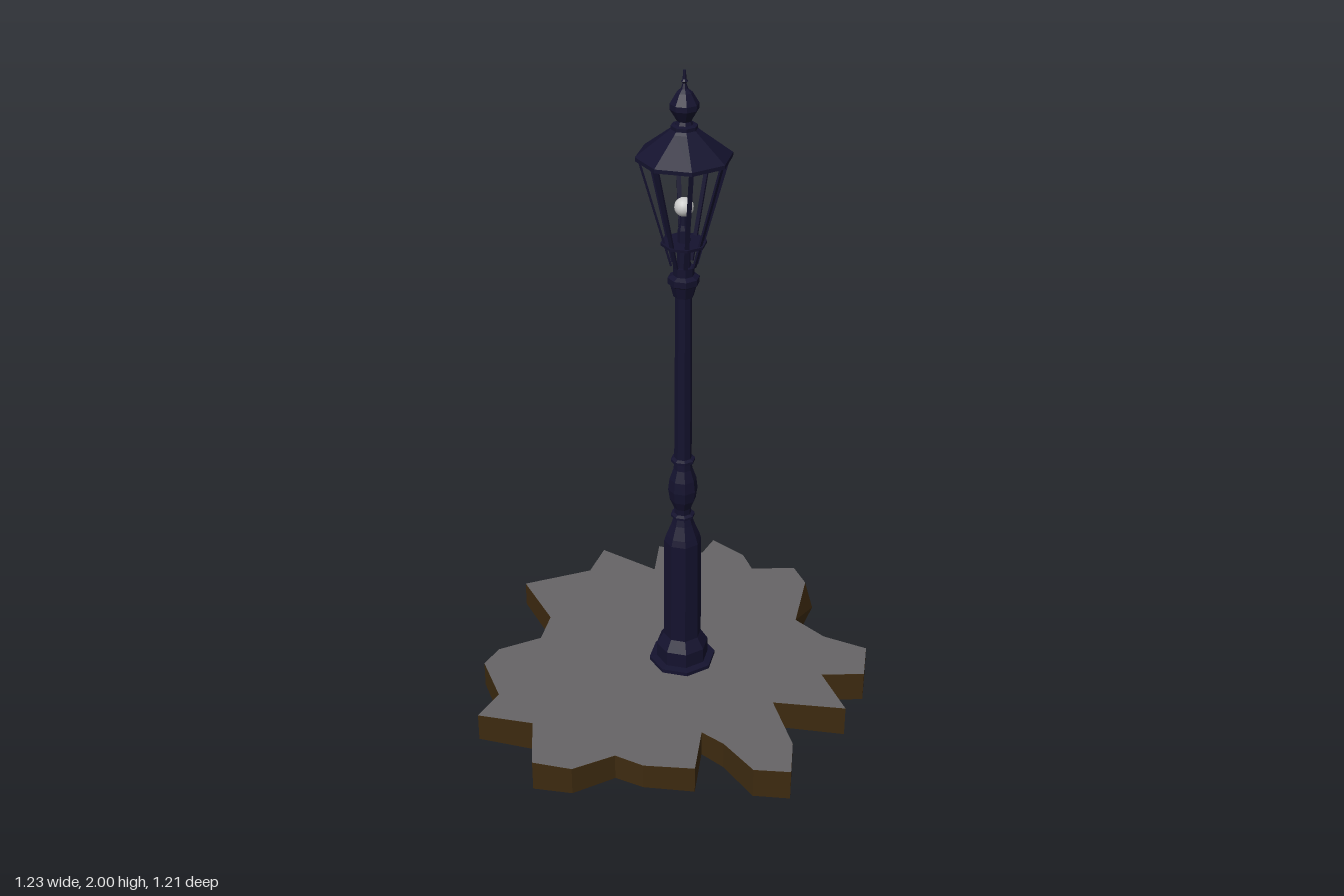
import * as THREE from 'three';

const IRON = new THREE.MeshStandardMaterial({ color: 0x14122e, flatShading: true, side: THREE.DoubleSide });
const EARTH = new THREE.MeshStandardMaterial({ color: 0x3d2a10, flatShading: true });
const PAVING = new THREE.MeshStandardMaterial({ color: 0x666466, flatShading: true });
const GLASS = new THREE.MeshStandardMaterial({ color: 0xcccccc });

// Ragged ground outline as [x, z], seen from above
const OUTLINE = [
  [-0.42, -0.44], [-0.2, -0.485], [-0.14, -0.6], [0.015, -0.46], [0.05, -0.595], [0.19, -0.535],
  [0.24, -0.605], [0.325, -0.5], [0.34, -0.415], [0.48, -0.4], [0.5, -0.31], [0.425, -0.11],
  [0.495, -0.01], [0.613, 0.07], [0.575, 0.195], [0.445, 0.18], [0.48, 0.35], [0.27, 0.29],
  [0.29, 0.485], [0.26, 0.605], [0.155, 0.58], [0.09, 0.455], [0.035, 0.395], [-0.01, 0.55],
  [-0.155, 0.515], [-0.23, 0.46], [-0.36, 0.5], [-0.47, 0.455], [-0.455, 0.28], [-0.613, 0.22],
  [-0.545, 0.13], [-0.58, -0.03], [-0.53, -0.095], [-0.395, -0.135], [-0.355, -0.24],
];

function mesh(name, geometry, material) {
  const m = new THREE.Mesh(geometry, material);
  m.name = name;
  return m;
}

// Eight-sided turned part from [radius, height] pairs, bottom to top
function turned(name, profile, material = IRON) {
  return mesh(name, new THREE.LatheGeometry(profile.map(([r, y]) => new THREE.Vector2(r, y)), 8), material);
}

function createGround() {
  const ground = new THREE.Group();
  ground.name = 'ground';
  const shape = new THREE.Shape(OUTLINE.map(([x, z]) => new THREE.Vector2(x, -z)));

  // Earth slab with a slightly uneven underside
  const slab = new THREE.ExtrudeGeometry(shape, { depth: 0.089, bevelEnabled: false });
  slab.rotateX(-Math.PI / 2).translate(0, 0.01, 0);
  const p = slab.attributes.position;
  for (let i = 0; i < p.count; i++) {
    if (p.getY(i) > 0.05) continue;
    const x = p.getX(i), z = p.getZ(i);
    p.setY(i, 0.01 + 0.009 * Math.sin(7 * x + 5 * z));
    if (x > 0.47 && z < -0.3) p.setXYZ(i, x + 0.02, p.getY(i), z + 0.03);
  }
  slab.computeVertexNormals();

  const top = new THREE.ShapeGeometry(shape).rotateX(-Math.PI / 2).translate(0, 0.1, 0);
  ground.add(mesh('earthSlab', slab, EARTH), mesh('pavement', top, PAVING));
  return ground;
}

function createPost() {
  const post = new THREE.Group();
  post.name = 'post';
  post.add(
    turned('pedestal', [
      [0, 0.095], [0.102, 0.095], [0.102, 0.112], [0.08, 0.115], [0.08, 0.163], [0.058, 0.198],
      [0.056, 0.54], [0.05, 0.56], [0.034, 0.6], [0.027, 0.625],
    ]),
    turned('lowerCollar', [[0.027, 0.622], [0.036, 0.625], [0.036, 0.632], [0.026, 0.637]]),
    turned('baluster', [
      [0.024, 0.63], [0.026, 0.655], [0.039, 0.685], [0.044, 0.72], [0.04, 0.755], [0.028, 0.79], [0.026, 0.812],
    ]),
    turned('upperCollar', [[0.026, 0.81], [0.036, 0.815], [0.036, 0.823], [0.026, 0.828]]),
    turned('shaft', [[0.026, 0.81], [0.024, 1.36]]),
    turned('capital', [
      [0.022, 1.35], [0.029, 1.35], [0.038, 1.385], [0.045, 1.39], [0.045, 1.408], [0.03, 1.415], [0.03, 1.44], [0, 1.44],
    ]),
  );
  return post;
}

function createLantern() {
  const lantern = new THREE.Group();
  lantern.name = 'lantern';
  lantern.add(
    turned('lampHolder', [[0.02, 1.43], [0.017, 1.55], [0.013, 1.565], [0.011, 1.595]]),
    turned('lanternFloor', [[0, 1.506], [0.064, 1.506], [0.065, 1.514], [0, 1.514]]),
    // Hollow hood: inner face, eave, then outer slope
    turned('roof', [
      [0, 1.815], [0.04, 1.81], [0.125, 1.755], [0.133, 1.755], [0.133, 1.766], [0.045, 1.833], [0.037, 1.84],
      [0.037, 1.85], [0.025, 1.853],
    ]),
    turned('finial', [
      [0.025, 1.85], [0.02, 1.862], [0.04, 1.895], [0.04, 1.91], [0.022, 1.94], [0.01, 1.95],
      [0.005, 1.965], [0.01, 1.97], [0.005, 1.976], [0.004, 2], [0, 2],
    ]),
  );

  const bulb = mesh('bulb', new THREE.SphereGeometry(0.027, 16, 12), GLASS);
  bulb.position.y = 1.616;
  lantern.add(bulb);

  // Eight flat bars leaning out from the post to the eave
  const low = new THREE.Vector2(0.036, 1.445), high = new THREE.Vector2(0.124, 1.762);
  const span = high.clone().sub(low);
  for (let i = 0; i < 8; i++) {
    const bar = mesh('glazingBar', new THREE.BoxGeometry(0.012, span.length(), 0.006), IRON);
    bar.position.set(0, (low.y + high.y) / 2, (low.x + high.x) / 2);
    bar.rotation.x = Math.atan2(span.x, span.y);
    const arm = new THREE.Group();
    arm.name = 'barArm';
    arm.rotation.y = (i * Math.PI) / 4;
    arm.add(bar);
    lantern.add(arm);
  }
  return lantern;
}

export function createModel() {
  const model = new THREE.Group();
  model.name = 'streetLamp';
  const lamp = new THREE.Group();
  lamp.name = 'lamp';
  lamp.position.set(0.034, 0, 0.025);
  lamp.add(createPost(), createLantern());
  model.add(createGround(), lamp);
  return model;
}
